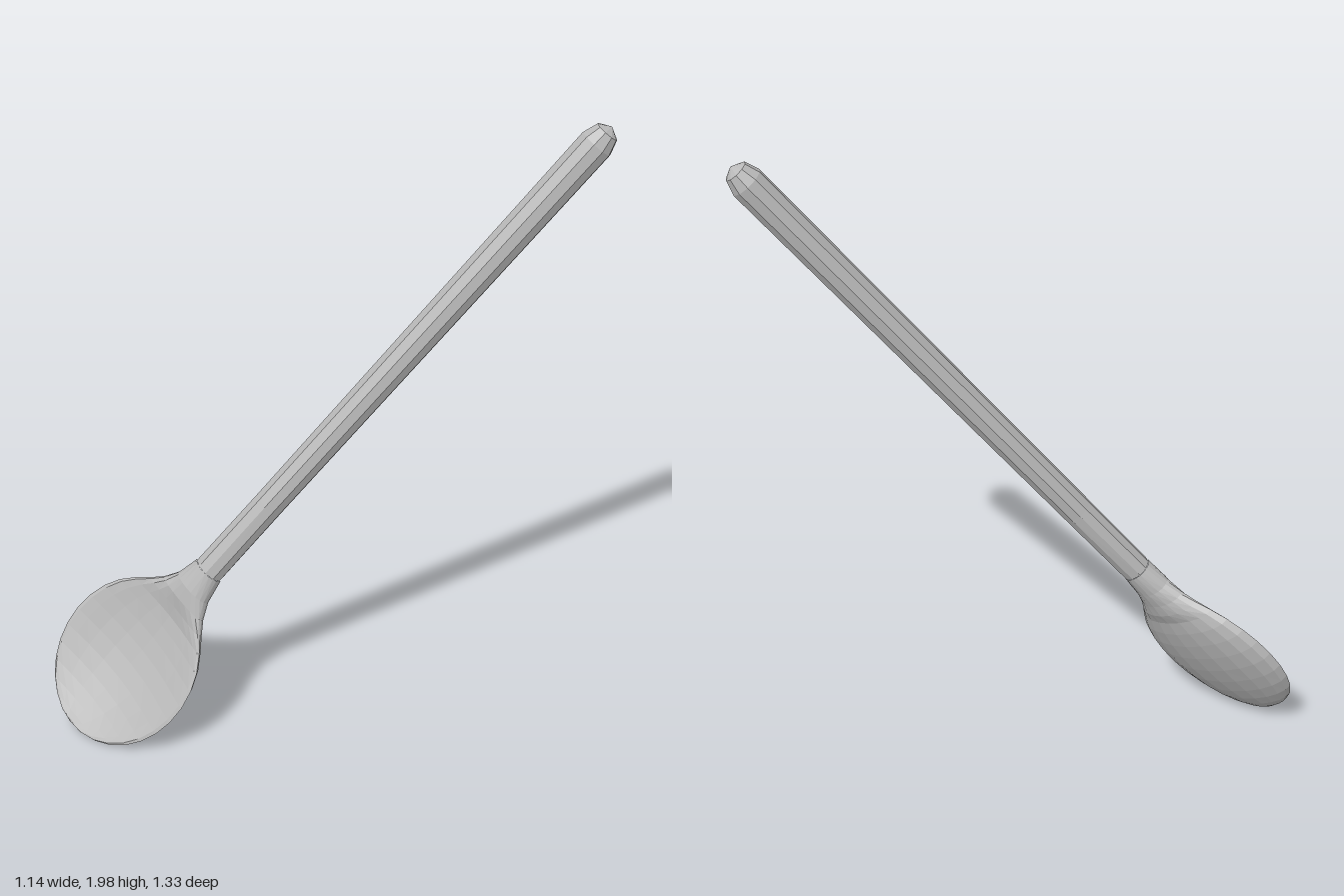
import * as THREE from 'three';

const SIDES = 20;

// Spoon frame: d runs up the handle, n out of the bowl's hollow, s across it
const centre = new THREE.Vector3(-0.33, 0.255, 0.52);
const d = new THREE.Vector3(0.525, 1.955, -0.625).sub(centre).normalize();
const n = new THREE.Vector3(0.22, 0.457, 0.861);
n.addScaledVector(d, -n.dot(d)).normalize();
const s = new THREE.Vector3().crossVectors(d, n);

// Skin rings of [distance along d, half width, back depth, front height, hollow]
function loft(rows, sides) {
  const positions = [], index = [];
  for (const [t, w, back, front, dip] of rows) {
    for (let j = 0; j < sides; j++) {
      const a = (j / sides) * Math.PI * 2;
      const u = Math.sin(a);
      const h = u > 0 ? front * u - dip * u * u : back * u;
      const p = centre.clone().addScaledVector(d, t)
        .addScaledVector(s, w * Math.cos(a)).addScaledVector(n, h);
      positions.push(p.x, p.y, p.z);
    }
  }
  for (let i = 0; i < rows.length - 1; i++) {
    for (let j = 0; j < sides; j++) {
      const k = (j + 1) % sides;
      const a = i * sides + j, b = i * sides + k;
      index.push(a, a + sides, b + sides, a, b + sides, b);
    }
  }
  const geometry = new THREE.BufferGeometry();
  geometry.setAttribute('position', new THREE.Float32BufferAttribute(positions, 3));
  geometry.setIndex(index);
  geometry.computeVertexNormals();
  return geometry;
}

export function createModel() {
  const group = new THREE.Group();
  group.name = 'spoon';
  const grey = new THREE.MeshStandardMaterial({ color: 0xb8b8b8 });
  grey.name = 'plain grey';
  grey.flatShading = true;

  // Oval bowl, hollow in front and domed behind
  const bowlRows = [];
  for (let i = 0; i <= 11; i++) {
    const t = -Math.cos((i / 11) * 2.4) * 0.285;
    const k = Math.sqrt(Math.max(0, 1 - (t / 0.285) ** 2));
    bowlRows.push([t, 0.245 * k, 0.012 + 0.068 * k, 0.012 + 0.02 * k, 0.012 + 0.062 * k * k]);
  }
  // Close the tip and flare the shoulders into the neck
  bowlRows.unshift([-0.286, 0, 0, 0, 0]);
  const neck = [0.42, 0.05, 0.046, 0.046, 0];
  bowlRows.push(
    [0.25, 0.128, 0.06, 0.03, 0.025],
    [0.29, 0.095, 0.054, 0.036, 0.008],
    [0.34, 0.068, 0.05, 0.042, 0],
    neck);
  const bowl = new THREE.Mesh(loft(bowlRows, SIDES), grey);
  bowl.name = 'bowl';

  // Long round handle with a blunt rounded end
  const handleRows = [neck];
  for (let i = 1; i <= 6; i++) {
    const r = 0.047 + 0.006 * (i / 6);
    handleRows.push([0.42 + 1.77 * (i / 6), r, r, r, 0]);
  }
  handleRows.push([2.235, 0.038, 0.038, 0.038, 0], [2.255, 0, 0, 0, 0]);
  const handle = new THREE.Mesh(loft(handleRows, SIDES / 2), grey);
  handle.name = 'handle';

  group.add(bowl, handle);
  return group;
}
